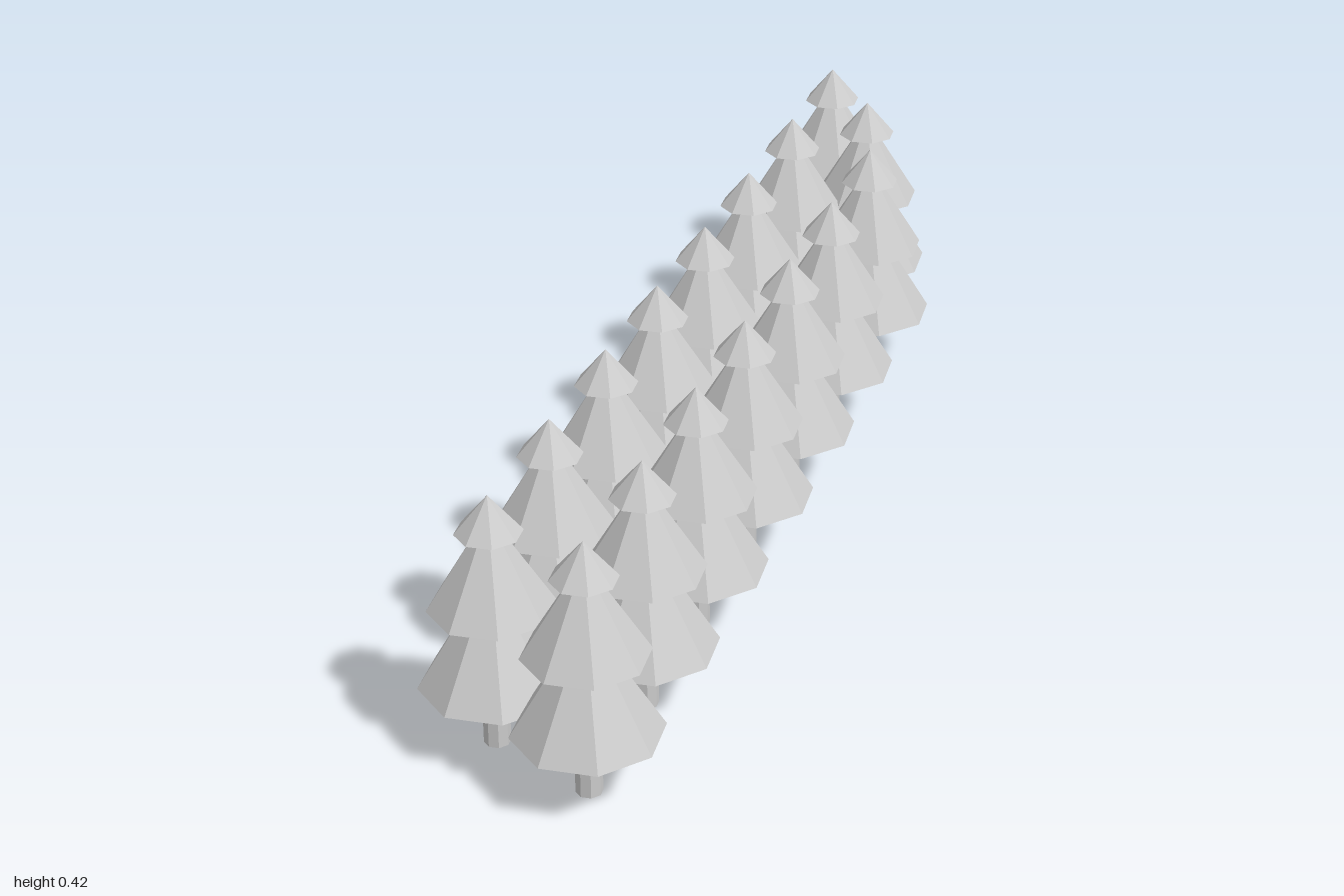
import * as THREE from 'three';

const SIDES = 8;
const TURN = THREE.MathUtils.degToRad(28);

export function createModel() {
  const forest = new THREE.Group();
  forest.name = 'treeRows';
  const material = new THREE.MeshStandardMaterial({ color: 0xcccccc, flatShading: true });

  // Shared parts: trunk and three stacked foliage cones, [name, base radius, base y, apex y]
  const trunk = new THREE.CylinderGeometry(0.0205, 0.0205, 0.12, SIDES).rotateY(TURN).translate(0, 0.06, 0);
  const tiers = [
    ['lowerFoliage', 0.115, 0.105, 0.296],
    ['middleFoliage', 0.096, 0.237, 0.393],
    ['topFoliage', 0.051, 0.362, 0.423],
  ].map(([name, radius, base, apex]) => ({
    name,
    geometry: new THREE.ConeGeometry(radius, apex - base, SIDES)
      .rotateY(TURN)
      .translate(0, (base + apex) / 2, 0),
  }));

  function addPart(parent, name, geometry) {
    const mesh = new THREE.Mesh(geometry, material);
    mesh.name = name;
    parent.add(mesh);
  }

  function addTree(x, z) {
    const tree = new THREE.Group();
    tree.name = 'tree';
    addPart(tree, 'trunk', trunk);
    for (const { name, geometry } of tiers) addPart(tree, name, geometry);
    tree.position.set(x, 0, z);
    forest.add(tree);
  }

  // Two staggered rows with even spacing
  for (let i = 0; i < 7; i++) addTree(0.088, 0.891 - i * 0.239);
  for (let i = 0; i < 6; i++) addTree(-0.087, 0.817 - i * 0.239);

  // Looser trees at the back end
  addTree(-0.087, -0.635);
  addTree(-0.087, -0.891);
  addTree(0.022, -0.753);

  return forest;
}
